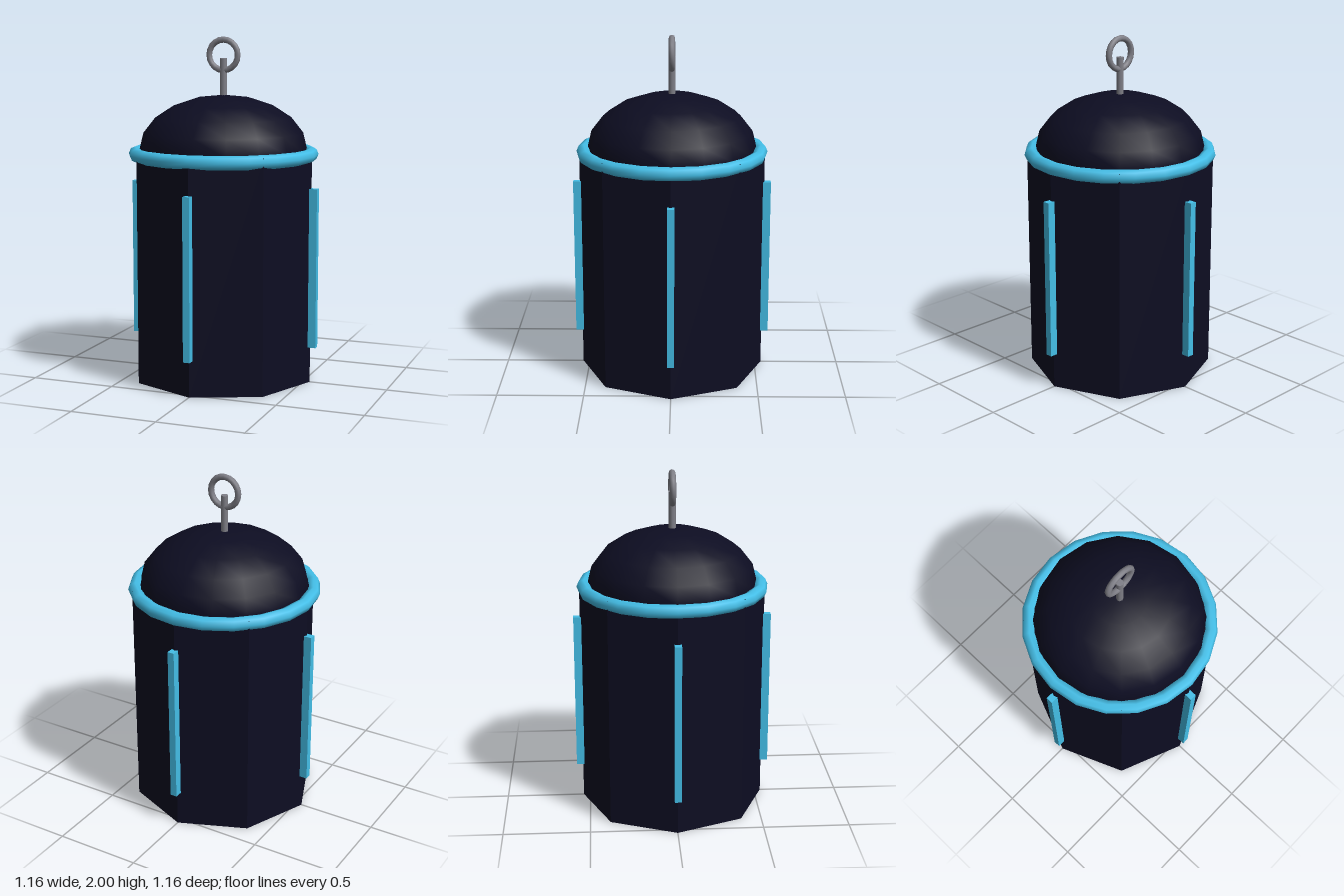
import * as THREE from 'three';

export function createModel() {
  const model = new THREE.Group();
  model.name = 'lantern';

  const navy = new THREE.MeshStandardMaterial({ color: 0x0d0d22 });
  const navyFlat = new THREE.MeshStandardMaterial({ color: 0x0d0d22 });
  navy.name = navyFlat.name = 'dark navy';
  navyFlat.flatShading = true;
  const blue = new THREE.MeshStandardMaterial({ color: 0x44bfe8 });
  blue.name = 'sky blue';
  const metal = new THREE.MeshStandardMaterial({ color: 0x808088 });
  metal.name = 'grey metal';

  const add = (name, geometry, material, x, y, z) => {
    const mesh = new THREE.Mesh(geometry, material);
    mesh.name = name;
    mesh.position.set(x, y, z);
    model.add(mesh);
    return mesh;
  };

  // Eight-sided body with corners on the x and z axes
  const bodyHeight = 1.346;
  add('body', new THREE.CylinderGeometry(0.54, 0.54, bodyHeight, 8), navyFlat, 0, bodyHeight / 2, 0);

  // Flattened half-sphere lid
  const dome = new THREE.SphereGeometry(0.49, 16, 5, 0, Math.PI * 2, 0, Math.PI / 2);
  dome.scale(1, 0.65, 1);
  add('dome', dome, navy, 0, bodyHeight, 0);

  // Rim around the top of the body
  const rim = new THREE.TorusGeometry(0.515, 0.04, 8, 20);
  rim.rotateX(Math.PI / 2);
  add('rim', rim, blue, 0, 1.322, 0);

  // Four upright strips on the axis corners
  for (let i = 0; i < 4; i++) {
    const a = (i * Math.PI) / 2;
    const strip = add('strip', new THREE.BoxGeometry(0.04, 0.93, 0.08), blue,
      Math.sin(a) * 0.538, 0.675, Math.cos(a) * 0.538);
    strip.rotation.y = a;
  }

  // Stem and hanging ring
  add('stem', new THREE.CylinderGeometry(0.021, 0.021, 0.24, 8), metal, 0, 1.755, 0);
  add('hangingRing', new THREE.TorusGeometry(0.088, 0.018, 8, 20), metal, 0, 1.894, 0);

  return model;
}
